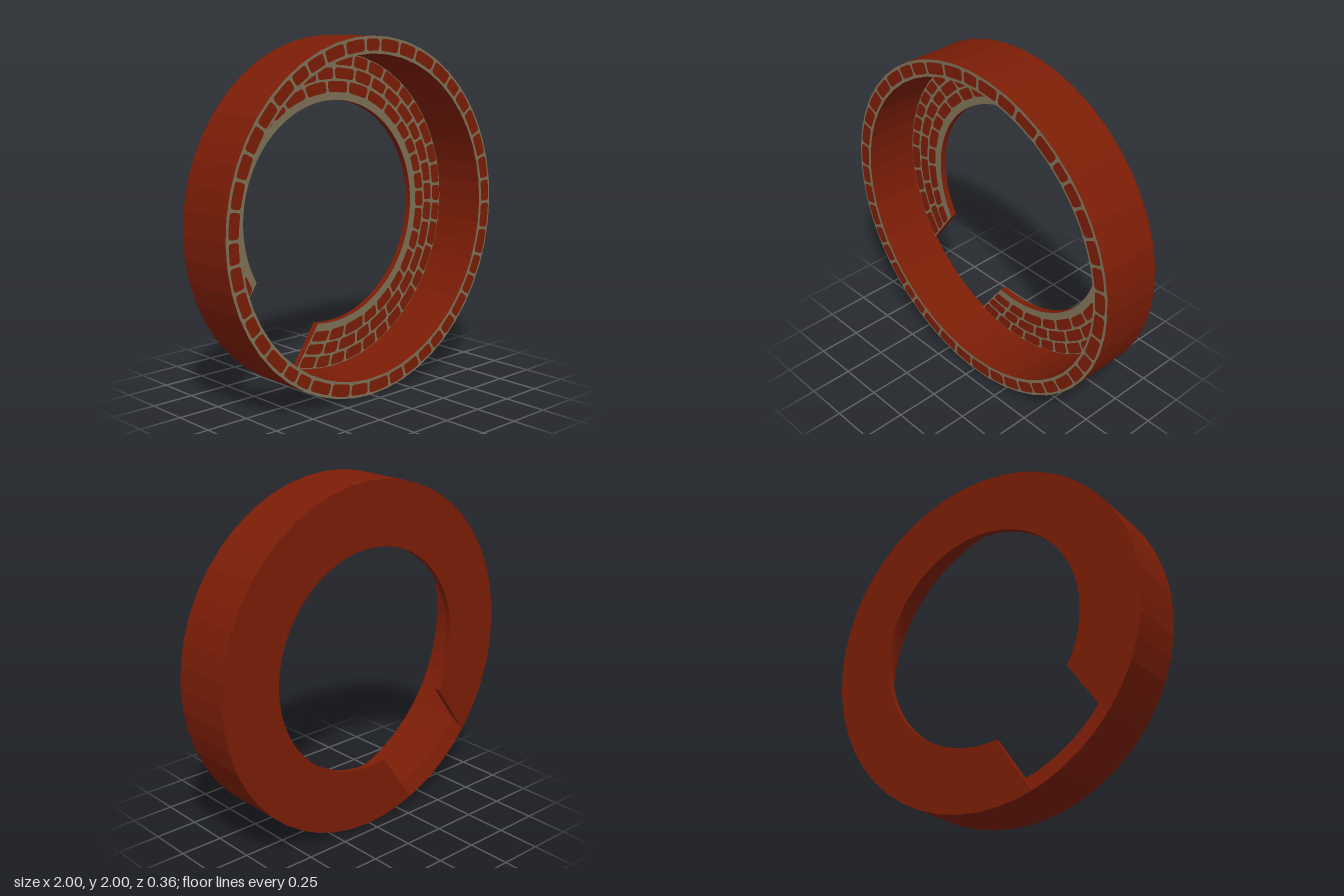
import * as THREE from 'three';
import { mergeGeometries } from 'three/addons/utils/BufferGeometryUtils.js';

const SEG = 48;
const HALF = 0.18;            // half depth of the ring
const R_IN = 0.64, R_WALL = 0.905;
const PLATE_FRONT = -0.145;   // front of the recessed plate
const NOTCH_DIR = THREE.MathUtils.degToRad(235), NOTCH_HALF = 0.27;

const brick = new THREE.MeshStandardMaterial({ color: 0x7b1d06 });
brick.name = 'brickRed';
const mortar = new THREE.MeshStandardMaterial({ color: 0x7e7156 });
mortar.name = 'mortarGrey';

let seed = 7;
function rand() {
  seed = (seed * 16807) % 2147483647;
  return seed / 2147483647;
}

function addMesh(parent, name, geometry, material, z = 0) {
  const mesh = new THREE.Mesh(geometry, material);
  mesh.name = name;
  mesh.position.z = z;
  parent.add(mesh);
}

// Faceted surface of revolution about z, from [radius, z] pairs
function turned(points) {
  const lathe = new THREE.LatheGeometry(points.map(p => new THREE.Vector2(...p)), SEG);
  const geo = lathe.rotateX(Math.PI / 2).toNonIndexed();
  geo.computeVertexNormals();
  return geo;
}

// Half angle covered by the parallel-sided notch at radius r
const notchAngle = r => Math.asin(NOTCH_HALF / r);

// Annulus broken by the notch
function notchedRing(rOut) {
  const s = new THREE.Shape();
  const ao = notchAngle(rOut), ai = notchAngle(R_IN), end = NOTCH_DIR + 2 * Math.PI;
  s.absarc(0, 0, rOut, NOTCH_DIR + ao, end - ao, false);
  s.absarc(0, 0, R_IN, end - ai, NOTCH_DIR + ai, true);
  s.closePath();
  return s;
}

// Flat rounded brick, drawn along x and then bent round the ring
function brickShape(x0, x1, h) {
  const c = Math.min(0.018, (x1 - x0) / 3), y = h / 2;
  const s = new THREE.Shape();
  s.moveTo(x0 + c, -y);
  s.lineTo((x0 + x1) / 2, -y);
  s.lineTo(x1 - c, -y);
  s.quadraticCurveTo(x1, -y, x1, -y + c);
  s.lineTo(x1, y - c);
  s.quadraticCurveTo(x1, y, x1 - c, y);
  s.lineTo((x0 + x1) / 2, y);
  s.lineTo(x0 + c, y);
  s.quadraticCurveTo(x0, y, x0, y - c);
  s.lineTo(x0, -y + c);
  s.quadraticCurveTo(x0, -y, x0 + c, -y);
  return new THREE.ShapeGeometry(s, 3);
}

// One clockwise course of bricks with uneven lengths; notched courses follow the notch sides
function course(r, h, notched) {
  const gap = 0.016;
  const span = notched ? 2 * Math.PI - 2 * notchAngle(r) : 2 * Math.PI;
  const total = span * r;
  const lengths = [];
  let sum = 0;
  while (sum < total - 0.07) {
    const l = 0.105 + 0.06 * rand();
    lengths.push(l);
    sum += l;
  }
  const fit = total / sum, pieces = [];
  let at = 0;
  for (const l of lengths) {
    const geo = brickShape(at + gap / 2, at + l * fit - gap / 2, h * (0.92 + 0.1 * rand()));
    const pos = geo.attributes.position;
    for (let i = 0; i < pos.count; i++) {
      const rv = r + pos.getY(i);
      const a0 = notched ? notchAngle(rv) : 0;
      const a = NOTCH_DIR - a0 - (pos.getX(i) / total) * (2 * Math.PI - 2 * a0);
      pos.setXYZ(i, rv * Math.cos(a), rv * Math.sin(a), 0);
    }
    pieces.push(geo);
    at += l * fit;
  }
  return mergeGeometries(pieces);
}

export function createModel() {
  const model = new THREE.Group();
  model.name = 'brickRing';

  const ring = new THREE.Group();
  ring.name = 'ring';
  ring.position.y = 1;
  model.add(ring);

  // Rim wall, with a sloping back edge that shows in the notch
  addMesh(ring, 'rimOuterWall', turned([[1, -HALF], [1, HALF]]), brick);
  addMesh(ring, 'rimInnerWall', turned([[R_WALL, HALF], [R_WALL, -0.15], [1, -HALF]]), brick);
  addMesh(ring, 'rimFrontMortar', new THREE.RingGeometry(R_WALL, 1, SEG), mortar, HALF);
  addMesh(ring, 'rimBricks', course(0.952, 0.068, false), brick, HALF + 0.003);

  // Recessed back plate with the notch
  const plate = new THREE.ExtrudeGeometry(notchedRing(0.997), {
    depth: PLATE_FRONT + HALF, bevelEnabled: false, curveSegments: SEG,
  });
  addMesh(ring, 'backPlate', plate, brick, -HALF);
  addMesh(ring, 'plateMortar', new THREE.ShapeGeometry(notchedRing(R_WALL), SEG), mortar, PLATE_FRONT + 0.003);

  // Brick courses on the plate
  [0.715, 0.79, 0.866].forEach((r, i) => {
    addMesh(ring, 'plateBricks' + (i + 1), course(r, 0.064, true), brick, PLATE_FRONT + 0.006);
  });

  return model;
}
